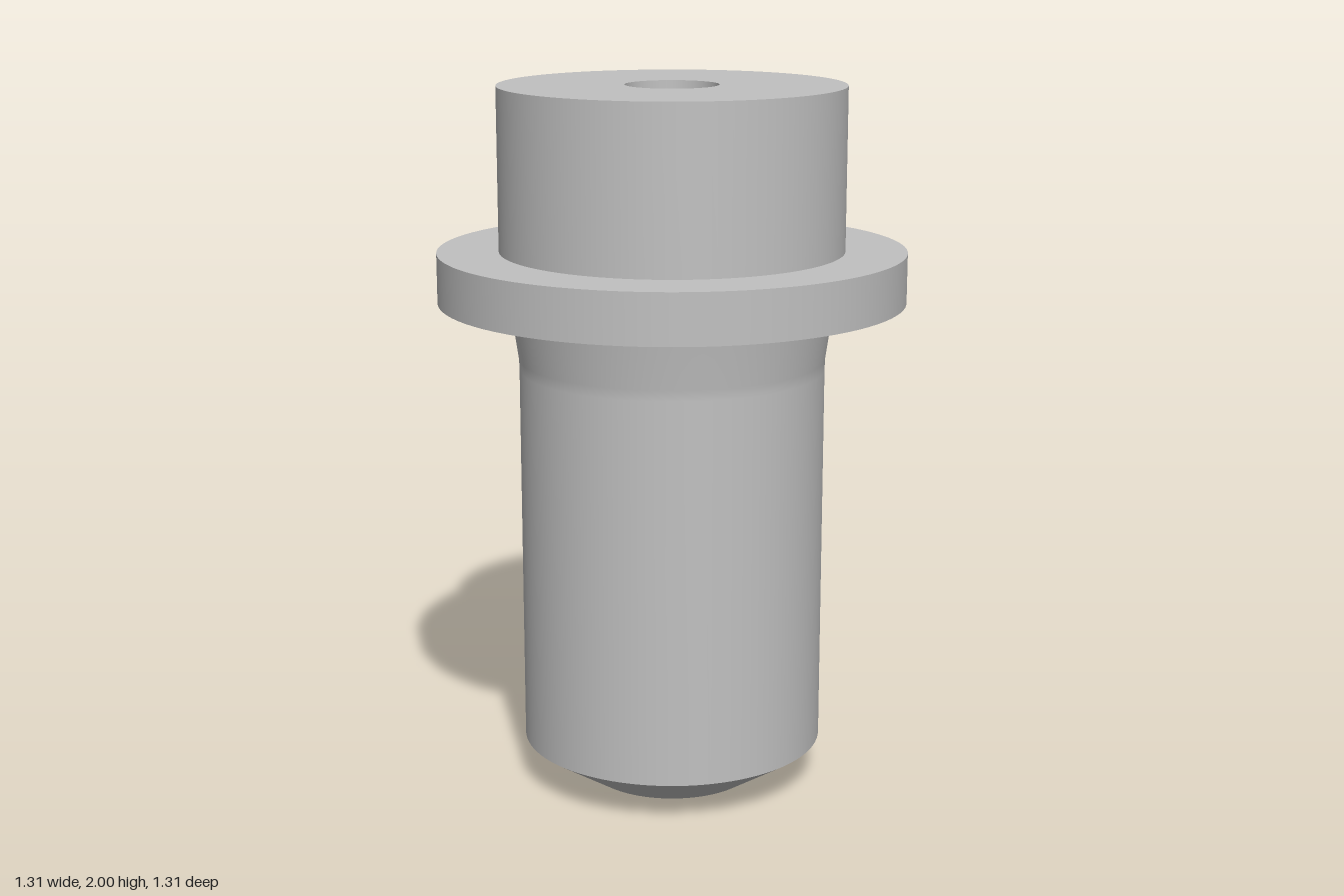
import * as THREE from 'three';

const SEGMENTS = 96;

export function createModel() {
  const model = new THREE.Group();
  model.name = 'flangedPin';
  const steel = new THREE.MeshStandardMaterial({ color: 0xc0c0c0 });
  steel.name = 'grey steel';

  // Revolves one smooth strip of profile; separate strips meet at sharp edges.
  function turn(parent, name, ...profile) {
    const points = profile.map(([r, y]) => new THREE.Vector2(r, y));
    const mesh = new THREE.Mesh(new THREE.LatheGeometry(points, SEGMENTS), steel);
    mesh.name = name;
    parent.add(mesh);
  }

  function part(name) {
    const group = new THREE.Group();
    group.name = name;
    model.add(group);
    return group;
  }

  // Shank with a chamfered tip and a slight flare under the flange
  const shank = part('shank');
  turn(shank, 'tipFace', [0, 0], [0.243, 0]);
  turn(shank, 'tipChamfer', [0.243, 0], [0.43, 0.12]);
  turn(shank, 'shankWall', [0.43, 0.12], [0.43, 1.21], [0.431, 1.24], [0.455, 1.405]);

  // Wide flange
  const flange = part('flange');
  turn(flange, 'flangeUnderside', [0.455, 1.405], [0.654, 1.405]);
  turn(flange, 'flangeRim', [0.654, 1.405], [0.654, 1.545]);
  turn(flange, 'flangeTop', [0.654, 1.545], [0.482, 1.545]);

  // Head with a shallow round recess
  const head = part('head');
  turn(head, 'headWall', [0.482, 1.545], [0.482, 2]);
  turn(head, 'headTop', [0.482, 2], [0.13, 2]);
  turn(head, 'recessWall', [0.13, 2], [0.13, 1.94]);
  turn(head, 'recessFloor', [0.13, 1.94], [0, 1.94]);

  return model;
}
